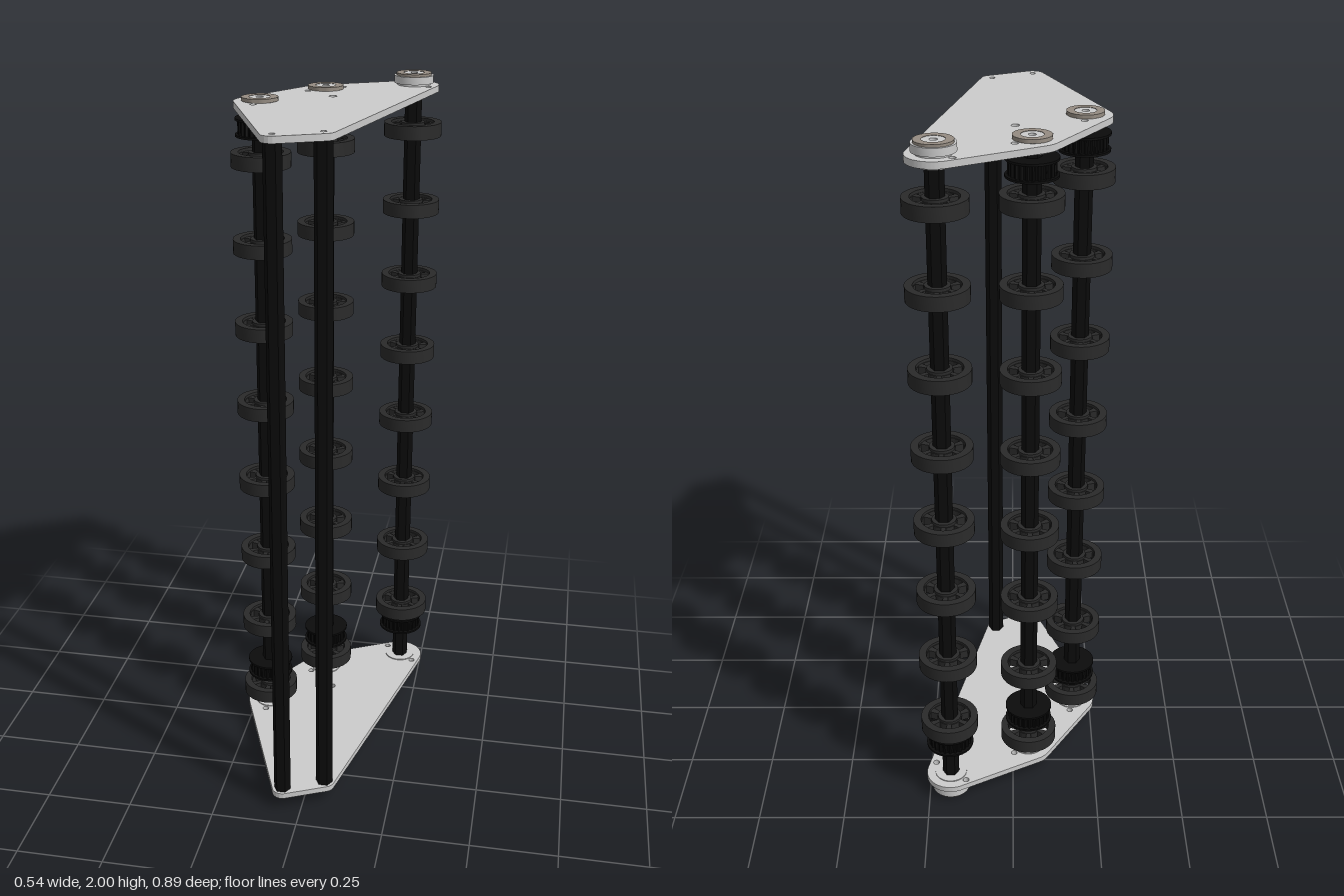
import * as THREE from 'three';
import { toCreasedNormals } from 'three/addons/utils/BufferGeometryUtils.js';

const mat = (color) => new THREE.MeshStandardMaterial({ color });
const GREY = mat(0xcccccc), BRONZE = mat(0x958c82), BLACK = mat(0x0b0b0b), RUBBER = mat(0x2a2a2a);

// Shapes lie in plan: shape x = model x, shape y = -z
const rollers = [
  { name: 'leftRoller', x: 0.187, z: -0.366, wheel0: 0.257, step: 0.2263, pulleys: [0.2], raised: true, bolt: [-0.046, 0.038] },
  { name: 'middleRoller', x: -0.047, z: -0.245, wheel0: 0.117, step: 0.2418, pulleys: [0.193, 1.897], bolt: [0.043, 0.04] },
  { name: 'rightRoller', x: -0.187, z: -0.025, wheel0: 0.117, step: 0.2418, pulleys: [0.193, 1.897], bolt: [0.005, 0.059] },
];
const posts = [[-0.057, 0.415], [0.058, 0.362]];

function circlePath(x, y, r) {
  return new THREE.Path().absarc(x, y, r, 0, Math.PI * 2, true);
}

function polygon(n, radius) {
  const pts = [];
  for (let i = 0; i < n; i++) {
    const a = (i / n) * Math.PI * 2, r = radius(i);
    pts.push(new THREE.Vector2(Math.cos(a) * r, Math.sin(a) * r));
  }
  return new THREE.Shape(pts);
}

function disc(r, bore) {
  const s = new THREE.Shape().absarc(0, 0, r, 0, Math.PI * 2, false);
  s.holes.push(circlePath(0, 0, bore));
  return s;
}

// Extrudes a plan shape upward from y0 to y1
function prism(name, shape, y0, y1, material, curveSegments = 16) {
  let g = new THREE.ExtrudeGeometry(shape, { depth: y1 - y0, bevelEnabled: false, curveSegments });
  g.rotateX(-Math.PI / 2).translate(0, y0, 0);
  g = toCreasedNormals(g, 0.5);
  const m = new THREE.Mesh(g, material);
  m.name = name;
  return m;
}

// Outline wrapped tightly around circles given counter-clockwise as [x, y, r]
function beltOutline(circles) {
  const n = circles.length;
  const angles = circles.map(([x, y, r], i) => {
    const [x2, y2, r2] = circles[(i + 1) % n];
    return Math.atan2(y2 - y, x2 - x) - Math.acos((r - r2) / Math.hypot(x2 - x, y2 - y));
  });
  const s = new THREE.Shape();
  circles.forEach(([x, y, r], i) => s.absarc(x, y, r, angles[(i + n - 1) % n], angles[i], false));
  return s;
}

function plateShape() {
  const s = beltOutline([
    ...posts.map(([x, z]) => [x, -z, 0.03]),
    ...rollers.map((r) => [r.x, -r.z, 0.072]),
  ]);
  posts.forEach(([x, z]) => s.holes.push(circlePath(x, -z, 0.008)));
  s.holes.push(circlePath(-0.006, 0.128, 0.011));
  for (const { x, z, bolt } of rollers) {
    s.holes.push(circlePath(x, -z, 0.04));
    for (const k of [1, -1]) s.holes.push(circlePath(x + k * bolt[0], -z + k * bolt[1], 0.009));
  }
  return s;
}

// Hexagonal bar with a bore
function hexBar(name, y0, y1, bore) {
  const s = polygon(6, () => 0.0245);
  s.holes.push(circlePath(0, 0, bore));
  return prism(name, s, y0, y1, BLACK);
}

function makeWheel() {
  const g = new THREE.Group();
  g.name = 'wheel';
  const web = disc(0.066, 0.02);
  for (let i = 0; i < 6; i++) {
    const a = (i / 6) * Math.PI * 2, h = 0.36;
    web.holes.push(new THREE.Path().absarc(0, 0, 0.06, a - h, a + h, false).absarc(0, 0, 0.036, a + h, a - h, true));
  }
  g.add(
    prism('tyre', disc(0.083, 0.062), -0.02, 0.02, RUBBER, 20),
    prism('spokes', web, -0.012, 0.012, RUBBER, 8),
    prism('wheelHub', disc(0.034, 0.02), -0.02, 0.02, RUBBER, 10),
  );
  return g;
}

function makePulley() {
  const g = new THREE.Group();
  g.name = 'pulley';
  const teeth = polygon(96, (i) => (i % 4 < 2 ? 0.062 : 0.057));
  teeth.holes.push(circlePath(0, 0, 0.02));
  g.add(
    prism('pulleyTeeth', teeth, -0.019, 0.019, BLACK),
    prism('lowerFlange', disc(0.069, 0.02), -0.025, -0.019, BLACK),
    prism('upperFlange', disc(0.069, 0.02), 0.019, 0.025, BLACK),
  );
  return g;
}

// Bearing stack at the top end, or mirrored to the bottom end
function makeBearing(raised, top) {
  const g = new THREE.Group();
  g.name = top ? 'upperBearing' : 'lowerBearing';
  const ring = (name, r, bore, a, b, m) =>
    g.add(prism(name, disc(r, bore), top ? a : 2 - b, top ? b : 2 - a, m));
  const end = raised ? 2 : 1.977;
  ring('bearingBody', 0.047, 0.02, 1.938, end - 0.006, GREY);
  ring('bearingFlange', 0.05, 0.029, end - 0.01, end, BRONZE);
  ring('innerRace', 0.03, 0.01, end - 0.008, end - 0.001, GREY);
  if (raised) ring('bearingHousing', 0.056, 0.045, 1.972, 1.993, GREY);
  return g;
}

export function createModel() {
  const model = new THREE.Group();
  model.name = 'rollerFrame';

  // End plates
  const outline = plateShape();
  model.add(prism('bottomPlate', outline, 0.042, 0.059, GREY), prism('topPlate', outline, 1.941 + 0.007, 1.966, GREY));

  // Spacer posts
  for (const [x, z] of posts) {
    const post = hexBar('spacerPost', 0.059, 1.948, 0.008);
    post.position.set(x, 0, z);
    model.add(post);
  }

  // Rollers with wheels, pulleys and bearings
  const wheel = makeWheel(), pulley = makePulley();
  for (const r of rollers) {
    const g = new THREE.Group();
    g.name = r.name;
    g.position.set(r.x, 0, r.z);
    const inset = r.raised ? 0.008 : 0.031;
    g.add(hexBar('hexShaft', inset, 2 - inset, 0.01));
    for (let i = 0; i < 8; i++) {
      const w = wheel.clone();
      w.position.y = r.wheel0 + i * r.step;
      g.add(w);
    }
    for (const y of r.pulleys) {
      const p = pulley.clone();
      p.position.y = y;
      g.add(p);
    }
    g.add(makeBearing(r.raised, true), makeBearing(r.raised, false));
    model.add(g);
  }
  return model;
}
